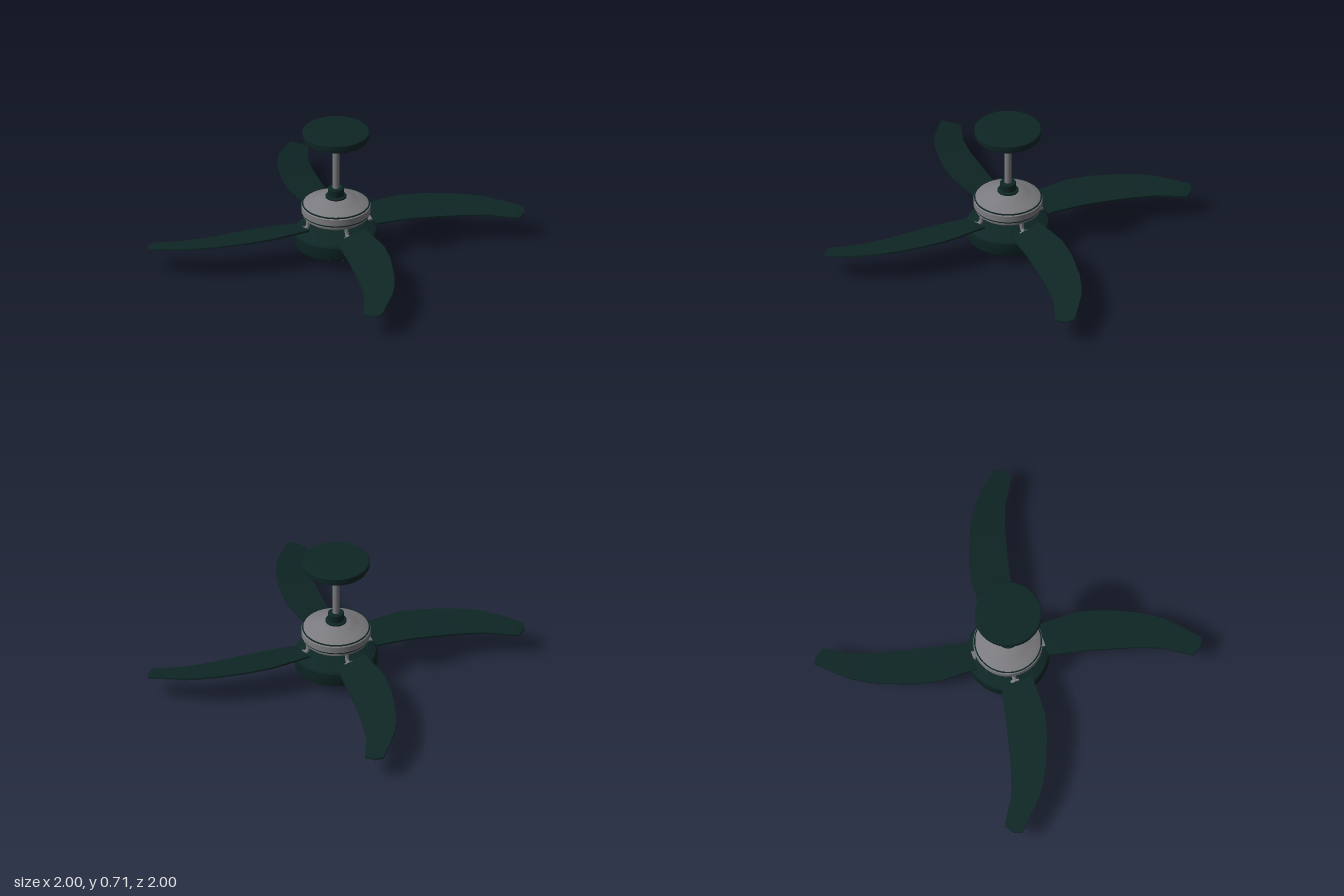
import * as THREE from 'three';
import { toCreasedNormals } from 'three/addons/utils/BufferGeometryUtils.js';

const paint = (name, color) => {
  const m = new THREE.MeshStandardMaterial({ color });
  m.name = name;
  return m;
};

// Blade outline rows: leading x, z, trailing x, z, leading y, trailing y
const ROWS = [
  [0.18, -0.088, 0.2, 0.075, 0.207, 0.172],
  [0.29, -0.104, 0.3, 0.083, 0.209, 0.174],
  [0.4, -0.115, 0.4, 0.09, 0.208, 0.173],
  [0.53, -0.1, 0.5, 0.1, 0.201, 0.167],
  [0.69, -0.06, 0.63, 0.114, 0.189, 0.157],
  [0.77, -0.03, 0.72, 0.13, 0.181, 0.15],
  [0.84, 0.005, 0.79, 0.145, 0.172, 0.145],
  [0.92, 0.065, 0.86, 0.175, 0.16, 0.138],
  [0.995, 0.125, 0.94, 0.21, 0.146, 0.131],
  [1.0, 0.13, 0.985, 0.17, 0.145, 0.134],
];

function bladeGeometry() {
  const t = 0.01, pos = [], idx = [];
  for (const [lx, lz, tx, tz, ly, ty] of ROWS)
    pos.push(lx, ly, lz, tx, ty, tz, tx, ty - t, tz, lx, ly - t, lz);
  for (let i = 0; i < ROWS.length - 1; i++)
    for (let k = 0; k < 4; k++) {
      const a = i * 4 + k, b = i * 4 + (k + 1) % 4;
      idx.push(a, b, b + 4, a, b + 4, a + 4);
    }
  const e = (ROWS.length - 1) * 4;
  idx.push(0, 2, 1, 0, 3, 2, e, e + 1, e + 2, e, e + 2, e + 3);
  const g = new THREE.BufferGeometry();
  g.setAttribute('position', new THREE.Float32BufferAttribute(pos, 3));
  g.setIndex(idx);
  return toCreasedNormals(g, 0.6);
}

export function createModel() {
  const fan = new THREE.Group();
  fan.name = 'ceilingFan';
  const dark = paint('dark green', 0x0e2625);
  const metal = paint('grey metal', 0x7c7c80);
  const glass = paint('lamp glass', 0xa8a8a4);

  const add = (name, geo, mat, parent = fan) => {
    const m = new THREE.Mesh(geo, mat);
    m.name = name;
    parent.add(m);
    return m;
  };
  // Profiles run from bottom to top as radius, height
  const turn = (name, profile, mat) => add(name, toCreasedNormals(
    new THREE.LatheGeometry(profile.map(([r, y]) => new THREE.Vector2(r, y)), 48), 0.5), mat);

  // Ceiling mount and rod
  turn('canopy', [[0, 0.615], [0.03, 0.615], [0.04, 0.635], [0.04, 0.65], [0.09, 0.653], [0.165, 0.664],
    [0.168, 0.68], [0.175, 0.682], [0.175, 0.706], [0.17, 0.71], [0, 0.71]], dark);
  add('rod', new THREE.CylinderGeometry(0.019, 0.019, 0.3, 24), metal).position.y = 0.485;
  turn('rodCollar', [[0, 0.32], [0.055, 0.32], [0.055, 0.335], [0.042, 0.34], [0.042, 0.378], [0.038, 0.382], [0, 0.382]], dark);

  // Motor housing with its seam rings
  turn('motorHousing', [[0, 0.21], [0.155, 0.21], [0.17, 0.222], [0.172, 0.24], [0.18, 0.246], [0.18, 0.28],
    [0.172, 0.286], [0.172, 0.29], [0.135, 0.299], [0.1, 0.315], [0.07, 0.327], [0, 0.33]], metal);
  for (const [r, y] of [[0.173, 0.288], [0.173, 0.24]]) {
    const ring = add('seamRing', new THREE.TorusGeometry(r, 0.004, 6, 48), dark);
    ring.rotation.x = Math.PI / 2;
    ring.position.y = y;
  }

  // Light kit
  turn('lightNeck', [[0.075, 0.17], [0.078, 0.185], [0.1, 0.2], [0.1, 0.215]], dark);
  turn('lightHousing', [[0, 0.06], [0.212, 0.06], [0.215, 0.066], [0.215, 0.132], [0.208, 0.143],
    [0.17, 0.16], [0.12, 0.177], [0.07, 0.184], [0, 0.184]], dark);
  turn('lampBowl', [[0, 0], [0.05, 0.002], [0.1, 0.01], [0.145, 0.024], [0.175, 0.041], [0.19, 0.062]], glass);

  // Four blades, each carried by a cranked bracket
  const blade = bladeGeometry();
  const path = new THREE.CatmullRomCurve3([[0.155, 0.225], [0.156, 0.19], [0.165, 0.175], [0.19, 0.172], [0.29, 0.173]]
    .map(([x, y]) => new THREE.Vector3(x, y, 0)));
  const post = new THREE.TubeGeometry(path, 20, 0.011, 10);
  const pad = new THREE.BoxGeometry(0.12, 0.012, 0.045);
  for (let i = 0; i < 4; i++) {
    const arm = new THREE.Group();
    arm.name = 'bladeArm';
    arm.rotation.y = i * Math.PI / 2;
    add('blade', blade, dark, arm);
    add('bracketPost', post, metal, arm);
    const p = add('bracketPad', pad, metal, arm);
    p.position.set(0.235, 0.173, 0);
    p.rotation.x = 0.2;
    fan.add(arm);
  }
  return fan;
}
